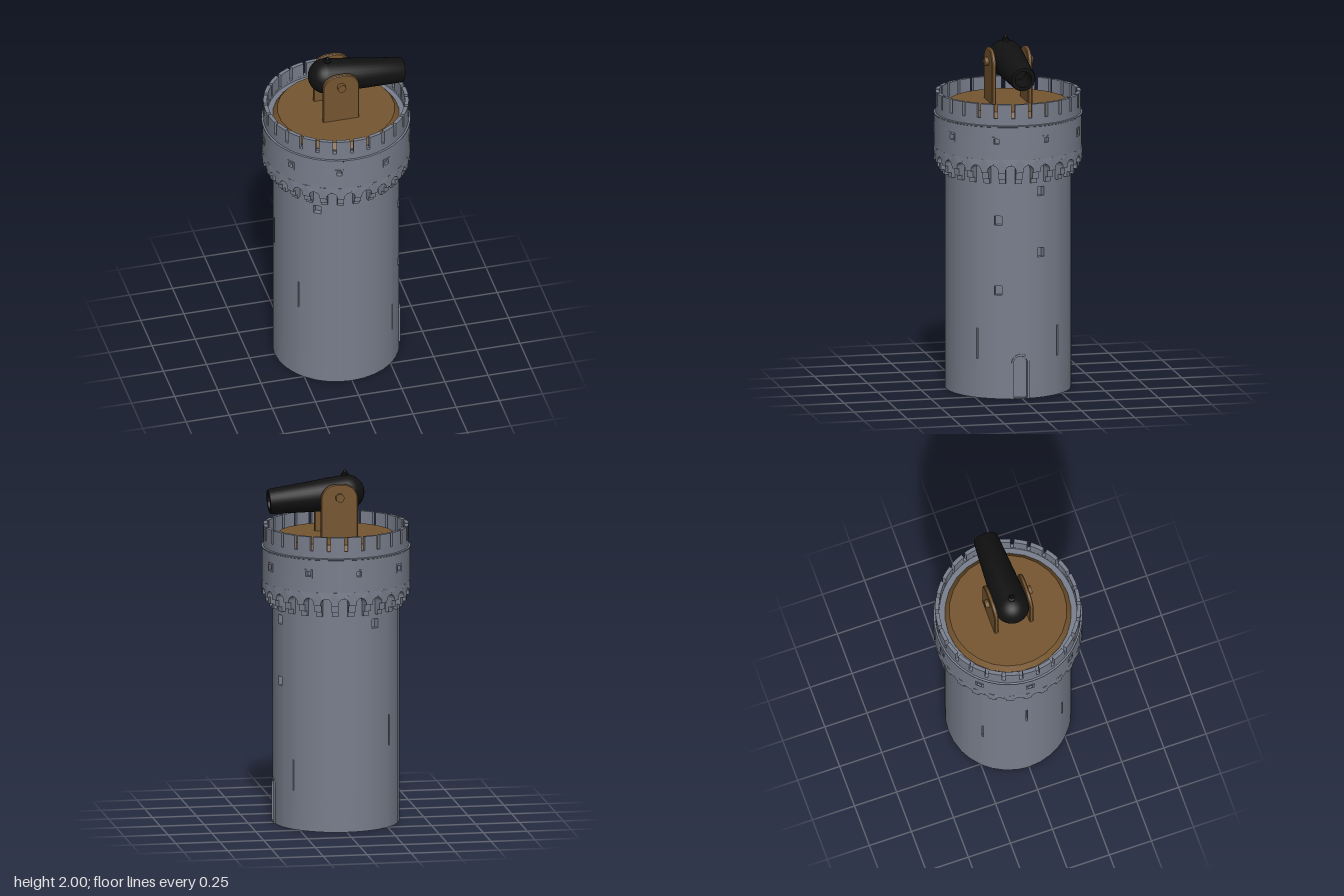
import * as THREE from 'three';
import { mergeGeometries, toCreasedNormals } from 'three/addons/utils/BufferGeometryUtils.js';

const DEG = Math.PI / 180;
const stone = new THREE.MeshStandardMaterial({ color: 0x787e8c });
const wood = new THREE.MeshStandardMaterial({ color: 0x75552f });
const iron = new THREE.MeshStandardMaterial({ color: 0x111111 });

function add(parent, name, geometry, material) {
  const mesh = new THREE.Mesh(geometry, material);
  mesh.name = name;
  parent.add(mesh);
  return mesh;
}

// Turned profile with sharp corners kept; points are [radius, height] going up the outside
function turned(points, sides = 32) {
  const g = new THREE.LatheGeometry(points.map(([r, y]) => new THREE.Vector2(r, y)), sides);
  return toCreasedNormals(g, 0.5);
}

// Curved block between two radii, two angles (from +z towards +x) and two heights
function sector(r0, r1, a0, a1, y0, y1) {
  const s = new THREE.Shape();
  s.absarc(0, 0, r1, a0 - Math.PI / 2, a1 - Math.PI / 2, false);
  s.absarc(0, 0, r0, a1 - Math.PI / 2, a0 - Math.PI / 2, true);
  const g = new THREE.ExtrudeGeometry(s, { depth: y1 - y0, bevelEnabled: false, curveSegments: 3 });
  return g.rotateX(-Math.PI / 2).translate(0, y0, 0);
}

// Opening centred on angle a (degrees), sized in units on a wall of radius R
const opening = (R, a, y, width, height, depth) =>
  ({ a: a * DEG, w: width / 2 / R, lo: y - height / 2, hi: y + height / 2, depth });

// Round wall whose cells are pushed in (or out) wherever an opening covers them
function roundWall(R, y0, y1, cuts, sides = 32) {
  const tidy = (list) => list.sort((p, q) => p - q).filter((v, i, l) => i === 0 || v - l[i - 1] > 1e-5);
  const angles = Array.from({ length: sides + 1 }, (_, i) => (i / sides) * 2 * Math.PI);
  const heights = [y0, y1];
  for (const c of cuts) {
    angles.push(c.a - c.w, c.a + c.w);
    heights.push(c.lo, c.hi);
  }
  const A = tidy(angles), Y = tidy(heights), n = A.length - 1, m = Y.length - 1;
  const depthAt = (i, j) => {
    const a = (A[i] + A[i + 1]) / 2, y = (Y[j] + Y[j + 1]) / 2;
    let d = 0;
    for (const c of cuts) if (Math.abs(a - c.a) < c.w && y > c.lo && y < c.hi) d = c.depth;
    return d;
  };
  const pos = [];
  const P = (a, y, d) => [(R - d) * Math.sin(a), y, (R - d) * Math.cos(a)];
  const quad = (p, q, r, s) => pos.push(...p, ...q, ...r, ...p, ...r, ...s);
  for (let i = 0; i < n; i++) {
    for (let j = 0; j < m; j++) {
      const a = A[i], b = A[i + 1], lo = Y[j], hi = Y[j + 1], d = depthAt(i, j);
      quad(P(a, lo, d), P(b, lo, d), P(b, hi, d), P(a, hi, d));
      const side = depthAt((i + 1) % n, j);
      if (side !== d) quad(P(b, lo, d), P(b, lo, side), P(b, hi, side), P(b, hi, d));
      const above = j + 1 < m ? depthAt(i, j + 1) : d;
      if (above !== d) quad(P(a, hi, d), P(b, hi, d), P(b, hi, above), P(a, hi, above));
    }
  }
  const g = new THREE.BufferGeometry();
  g.setAttribute('position', new THREE.Float32BufferAttribute(pos, 3));
  return toCreasedNormals(g, 0.5);
}

// Upright arch outline, bottom at y0
function archPath(path, half, y0, spring, r = half) {
  path.moveTo(-half, y0);
  path.lineTo(half, y0);
  path.lineTo(half, spring);
  path.absarc(half - r, spring, r, 0, Math.PI / 2, false);
  path.absarc(r - half, spring, r, Math.PI / 2, Math.PI, false);
  path.lineTo(-half, y0);
  return path;
}

function buildTower(root) {
  const R = 0.355, cuts = [];
  // windows and arrow slits of the shaft
  for (const [a, y] of [[328, 1.18], [208, 1.18], [108, 1.18], [108, 0.83], [68, 1.02], [68, 0.62]])
    cuts.push(opening(R, a, y, 0.042, 0.052, 0.03));
  for (const [a, y] of [[48, 0.31], [128, 0.31], [227, 0.555], [268, 0.85], [309, 0.555]])
    cuts.push(opening(R, a, y, 0.009, 0.175, 0.025));
  // doorway recess, narrowing in steps behind the arched frame
  const doorAngle = 88.4;
  cuts.push(opening(R, doorAngle, 0.1025, 0.088, 0.205, 0.02));
  for (let i = 0; i < 5; i++) {
    const rise = (i + 1) * 0.008;
    cuts.push(opening(R, doorAngle, 0.201 + rise, 2 * Math.sqrt(0.044 ** 2 - rise ** 2), 0.008, 0.02));
  }
  add(root, 'shaft', roundWall(R, 0, 1.38, cuts), stone);
  add(root, 'base', new THREE.CircleGeometry(R, 32).rotateX(Math.PI / 2), stone);

  // door frame
  const frame = archPath(new THREE.Shape(), 0.051, 0, 0.205);
  frame.holes.push(archPath(new THREE.Path(), 0.039, 0.006, 0.205));
  const g = new THREE.ExtrudeGeometry(frame, { depth: 0.03, bevelEnabled: false, curveSegments: 8 });
  add(root, 'doorFrame', g.translate(0, 0, 0.329).rotateY(doorAngle * DEG), stone);
}

function buildGallery(root) {
  const COUNT = 26, pitch = (2 * Math.PI) / COUNT, R = 0.415;

  // corbels: stepped piers carrying a ring of small arches
  const half = (pitch * R) / 2, open = 0.03;
  const arch = new THREE.Shape();
  arch.moveTo(-half, 1.38);
  arch.lineTo(-half, 1.305);
  arch.lineTo(-open, 1.305);
  arch.absarc(0, 1.315, open, Math.PI, 0, true);
  arch.lineTo(open, 1.305);
  arch.lineTo(half, 1.305);
  arch.lineTo(half, 1.38);
  const unit = new THREE.ExtrudeGeometry(arch, { depth: 0.067, bevelEnabled: false, curveSegments: 8 });
  const p = unit.attributes.position;
  for (let i = 0; i < p.count; i++) {
    const a = p.getX(i) / R, r = 0.35 + p.getZ(i);
    p.setXYZ(i, r * Math.sin(a), p.getY(i), r * Math.cos(a));
  }
  unit.computeVertexNormals();
  const corbels = [], merlons = [];
  const pier = (half - open) / R, steps = [[1.235, 1.265, 0.376], [1.265, 1.305, 0.398]];
  for (let i = 0; i < COUNT; i++) {
    const a = i * pitch + 3 * DEG;
    corbels.push(unit.clone().rotateY(a + pitch / 2));
    for (const [lo, hi, r] of steps) corbels.push(sector(0.345, r, a - pier, a + pier, lo, hi));
    // parapet blocks, parted by narrow slits
    const s = i * pitch - 2 * DEG, gap = 0.01 / R;
    merlons.push(sector(0.386, 0.408, s + gap, s + pitch - gap, 1.615, 1.695));
  }
  add(root, 'corbels', mergeGeometries(corbels), stone);
  add(root, 'parapetBlocks', mergeGeometries(merlons), stone);

  // drum with nine framed windows
  const cuts = [];
  for (let i = 0; i < 9; i++) {
    cuts.push(opening(R, 28 + 40 * i, 1.485, 0.048, 0.05, -0.004));
    cuts.push(opening(R, 28 + 40 * i, 1.485, 0.028, 0.03, 0.025));
  }
  add(root, 'drum', roundWall(R, 1.38, 1.565, cuts, 52), stone);
  add(root, 'ledgeAndWalkway', turned([[R, 1.565], [0.418, 1.567], [0.418, 1.573], [0.408, 1.575],
    [0.408, 1.615], [0.386, 1.615], [0.386, 1.6], [0.3, 1.6]], 52), stone);
}

function buildCannon(root) {
  // round turntable
  add(root, 'platform', turned([[0.355, 1.6], [0.355, 1.605], [0.33, 1.637], [0, 1.637]], 26), wood);

  // cheek plates and the axle between them
  const cheek = archPath(new THREE.Shape(), 0.1, 1.63, 1.855, 0.08);
  for (const side of [1, -1]) {
    const g = new THREE.ExtrudeGeometry(cheek, {
      depth: 0.014, bevelThickness: 0.005, bevelSize: 0.005, bevelSegments: 1, curveSegments: 8 });
    add(root, side > 0 ? 'frontCheek' : 'backCheek', g.translate(0, 0, side * 0.104 - 0.007), wood);
  }
  const axle = new THREE.CylinderGeometry(0.024, 0.024, 0.276, 16).rotateX(Math.PI / 2);
  add(root, 'axle', axle.translate(0, 1.865, 0), wood);

  // barrel: round breech, tapering tube, hollow muzzle
  const profile = [];
  for (let i = 0; i <= 8; i++) {
    const t = (i / 8) * Math.PI / 2;
    profile.push([0.1 * Math.sin(t), -0.1 * Math.cos(t)]);
  }
  profile.push([0.071, 0.437], [0.067, 0.445], [0.047, 0.445], [0.047, 0.3], [0, 0.3]);
  const barrel = new THREE.Group();
  barrel.name = 'barrel';
  barrel.position.set(-0.06, 1.872, 0);
  barrel.rotation.z = -95 * DEG;
  root.add(barrel);
  add(barrel, 'tube', turned(profile), iron);

  // touch-hole knob
  const knob = turned([[0.021, 0], [0.021, 0.012], [0.011, 0.016], [0.011, 0.025], [0.006, 0.032], [0, 0.032]], 12);
  add(root, 'knob', knob, iron).position.set(-0.051, 1.968, 0.003);
}

export function createModel() {
  const root = new THREE.Group();
  root.name = 'cannonTower';
  buildTower(root);
  buildGallery(root);
  buildCannon(root);
  return root;
}
